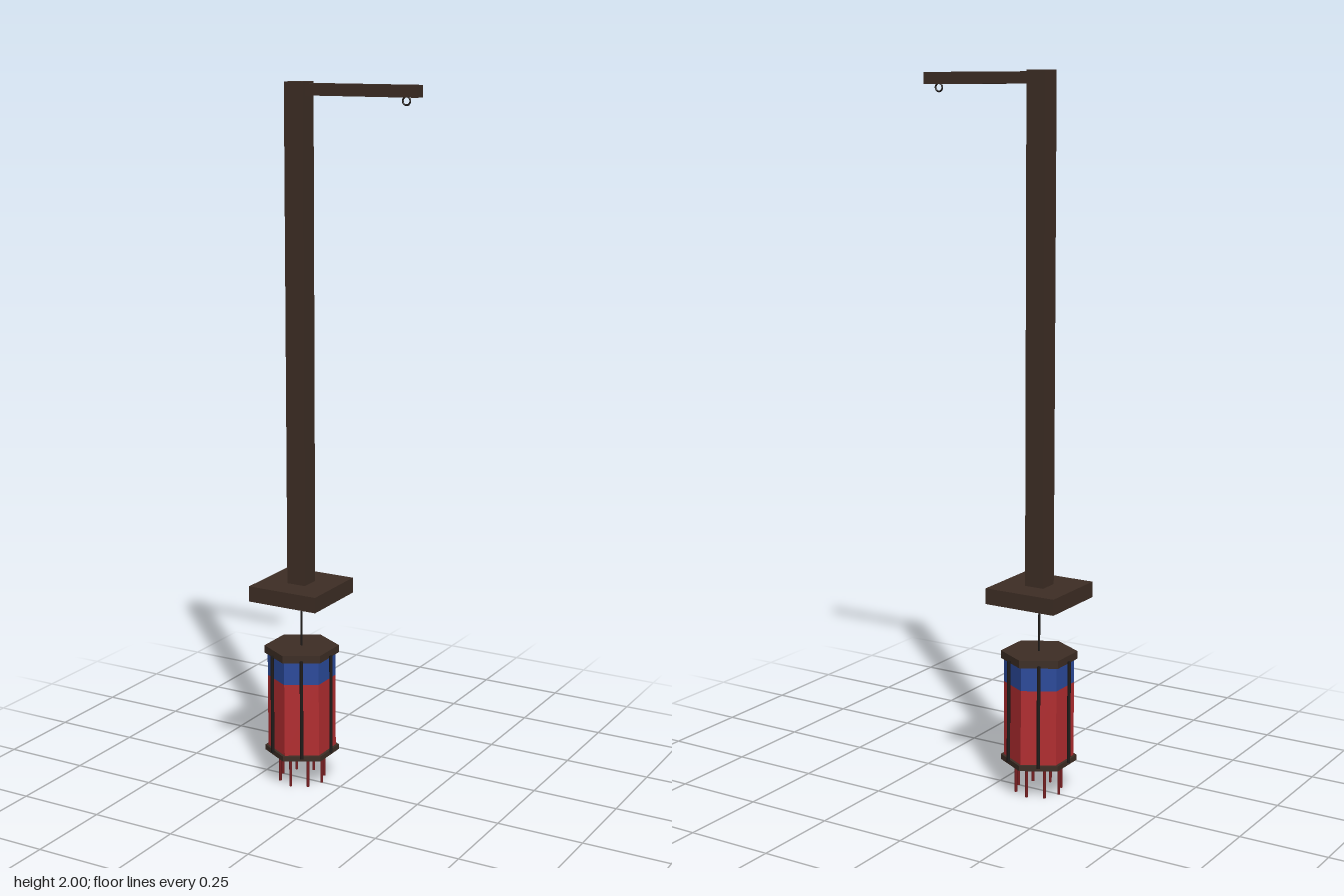
import * as THREE from 'three';

const paint = (name, color, side = THREE.FrontSide) => {
  const m = new THREE.MeshStandardMaterial({ color, side });
  m.name = name;
  return m;
};

export function createModel() {
  const wood = paint('dark wood', 0x3d2d24);
  const iron = paint('black iron', 0x1e1a18);
  const red = paint('red cloth', 0xb22d30);
  const blue = paint('blue cloth', 0x2b4a9b);
  const tasselRed = paint('tassel red', 0x7a2022);
  const gold = paint('aged gold', 0x6b4a20);
  const grey = paint('grey metal', 0x8a8a88);

  const model = new THREE.Group();
  model.name = 'hangingLantern';
  const add = (parent, name, geometry, material, x = 0, y = 0, z = 0) => {
    const mesh = new THREE.Mesh(geometry, material);
    mesh.name = name;
    mesh.position.set(x, y, z);
    parent.add(mesh);
    return mesh;
  };

  // Everything except the arm is centred on the post
  const column = new THREE.Group();
  column.name = 'column';
  column.position.x = -0.128;
  model.add(column);

  // Post and side arm with its small ring
  add(column, 'post', new THREE.BoxGeometry(0.058, 1.4, 0.058), wood, 0, 1.3);
  add(model, 'arm', new THREE.BoxGeometry(0.335, 0.032, 0.034), wood, 0.0675, 1.98, -0.001);
  add(model, 'armRing', new THREE.TorusGeometry(0.011, 0.0025, 8, 20), iron, 0.197, 1.955);

  // Base plate: a slab with a rim underneath
  add(column, 'baseTop', new THREE.BoxGeometry(0.216, 0.028, 0.216), wood, 0, 0.586);
  const square = (Kind, h) => new Kind([[-h, -h], [h, -h], [h, h], [-h, h]].map(p => new THREE.Vector2(...p)));
  const rim = square(THREE.Shape, 0.108);
  rim.holes.push(square(THREE.Path, 0.08));
  const rimGeometry = new THREE.ExtrudeGeometry(rim, { depth: 0.017, bevelEnabled: false });
  rimGeometry.rotateX(-Math.PI / 2);
  add(column, 'baseRim', rimGeometry, wood, 0, 0.555);

  // Two-tone disc inside the base
  const half = (name, material, turn) => {
    const geometry = new THREE.CylinderGeometry(0.07, 0.07, 0.006, 20, 1, false, turn, Math.PI);
    add(column, name, geometry, material, 0, 0.569);
  };
  half('discGold', gold, -Math.PI * 0.75);
  half('discGrey', grey, Math.PI * 0.25);

  // Lantern on its cord
  const lantern = new THREE.Group();
  lantern.name = 'lantern';
  column.add(lantern);
  const hex = (r, h) => new THREE.CylinderGeometry(r, r, h, 6).toNonIndexed();
  const prism = (name, r, bottom, top, material) => {
    const geometry = hex(r, top - bottom);
    geometry.computeVertexNormals();
    add(lantern, name, geometry, material, 0, (bottom + top) / 2);
  };
  add(lantern, 'cord', new THREE.CylinderGeometry(0.003, 0.003, 0.165, 8), iron, 0, 0.485);
  prism('topCap', 0.107, 0.388, 0.41, wood);
  prism('blueBand', 0.098, 0.32, 0.388, blue);
  prism('redBody', 0.098, 0.105, 0.32, red);
  prism('bottomCap', 0.107, 0.09, 0.105, wood);

  // One bar in front of each lantern face
  for (let i = 0; i < 6; i++) {
    const a = (i * Math.PI) / 3;
    add(lantern, 'bar', new THREE.CylinderGeometry(0.005, 0.005, 0.295, 8), iron,
      Math.cos(a) * 0.097, 0.2475, Math.sin(a) * 0.097);
  }

  // Ring of tassels below
  for (let i = 0; i < 8; i++) {
    const a = (i * Math.PI) / 4;
    add(lantern, 'tassel', new THREE.CylinderGeometry(0.004, 0.004, 0.092, 6), tasselRed,
      Math.cos(a) * 0.066, 0.046, Math.sin(a) * 0.066);
  }

  return model;
}
